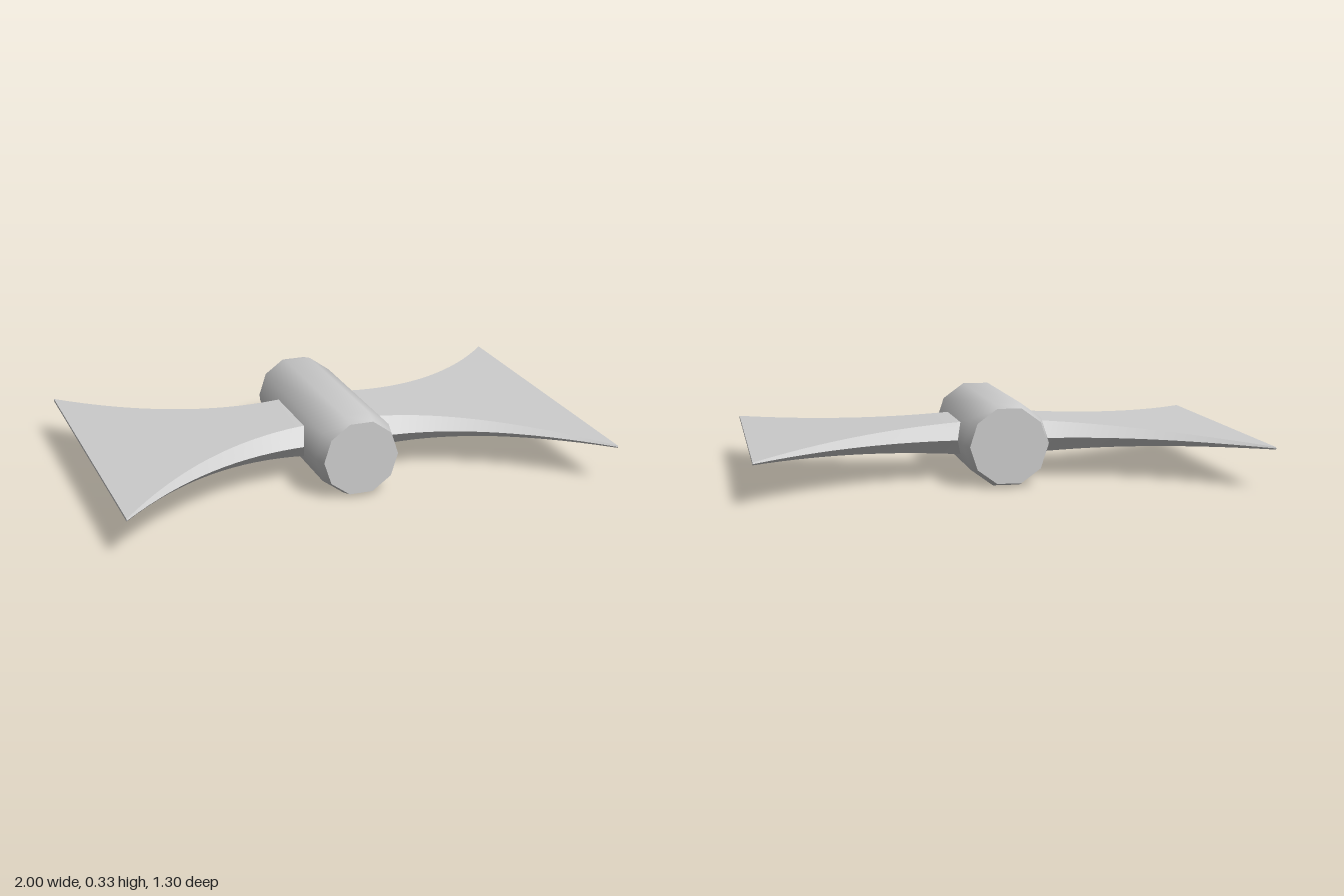
import * as THREE from 'three';
import { toCreasedNormals } from 'three/addons/utils/BufferGeometryUtils.js';

const MID_Y = 0.166;

// Ten-sided body along z, with a narrow bevel at both ends
function bodyGeometry() {
  const profile = [[0, -0.405], [0.155, -0.405], [0.172, -0.342], [0.172, 0.342], [0.155, 0.405], [0, 0.405]]
    .map(([r, h]) => new THREE.Vector2(r, h));
  const geo = new THREE.LatheGeometry(profile, 10, Math.PI / 2);
  geo.rotateX(Math.PI / 2);
  return toCreasedNormals(geo, 0.8);
}

// Flared wing along +x: hexagonal sections that widen and thin out towards the tip
function wingGeometry() {
  const steps = 16, rootX = 0.16;
  const pos = [], index = [];
  for (let i = -1; i <= steps; i++) {
    const t = Math.max(i, 0) / steps;
    const x = i < 0 ? 0.04 : rootX + (1 - rootX) * t;
    const outer = 0.219 + 0.433 * t * t;
    const flat = 0.157 + 0.49 * t * t;
    const h = 0.065 + (0.005 - 0.065) * t;
    pos.push(x, 0, -outer, x, h, -flat, x, h, flat, x, 0, outer, x, -h, flat, x, -h, -flat);
  }
  for (let i = 0; i <= steps; i++) {
    for (let j = 0; j < 6; j++) {
      const a = i * 6 + j, b = i * 6 + (j + 1) % 6;
      index.push(a, b, a + 6, b, b + 6, a + 6);
    }
  }
  // End faces
  const last = (steps + 1) * 6;
  for (let j = 1; j < 5; j++) {
    index.push(last, last + j, last + j + 1);
    index.push(0, j + 1, j);
  }
  const geo = new THREE.BufferGeometry();
  geo.setAttribute('position', new THREE.Float32BufferAttribute(pos, 3));
  geo.setIndex(index);
  return toCreasedNormals(geo, 0.3);
}

export function createModel() {
  const grey = new THREE.MeshStandardMaterial({ color: 0xcccccc });
  grey.name = 'lightGrey';

  const model = new THREE.Group();
  model.name = 'wingedCylinder';

  const body = new THREE.Mesh(bodyGeometry(), grey);
  body.name = 'body';
  body.position.y = MID_Y;
  model.add(body);

  // The sections are symmetric, so a half turn makes the opposite wing
  const wing = wingGeometry();
  for (const [name, turn] of [['leftWing', 0], ['rightWing', Math.PI]]) {
    const mesh = new THREE.Mesh(wing, grey);
    mesh.name = name;
    mesh.position.y = MID_Y;
    mesh.rotation.y = turn;
    model.add(mesh);
  }
  return model;
}
